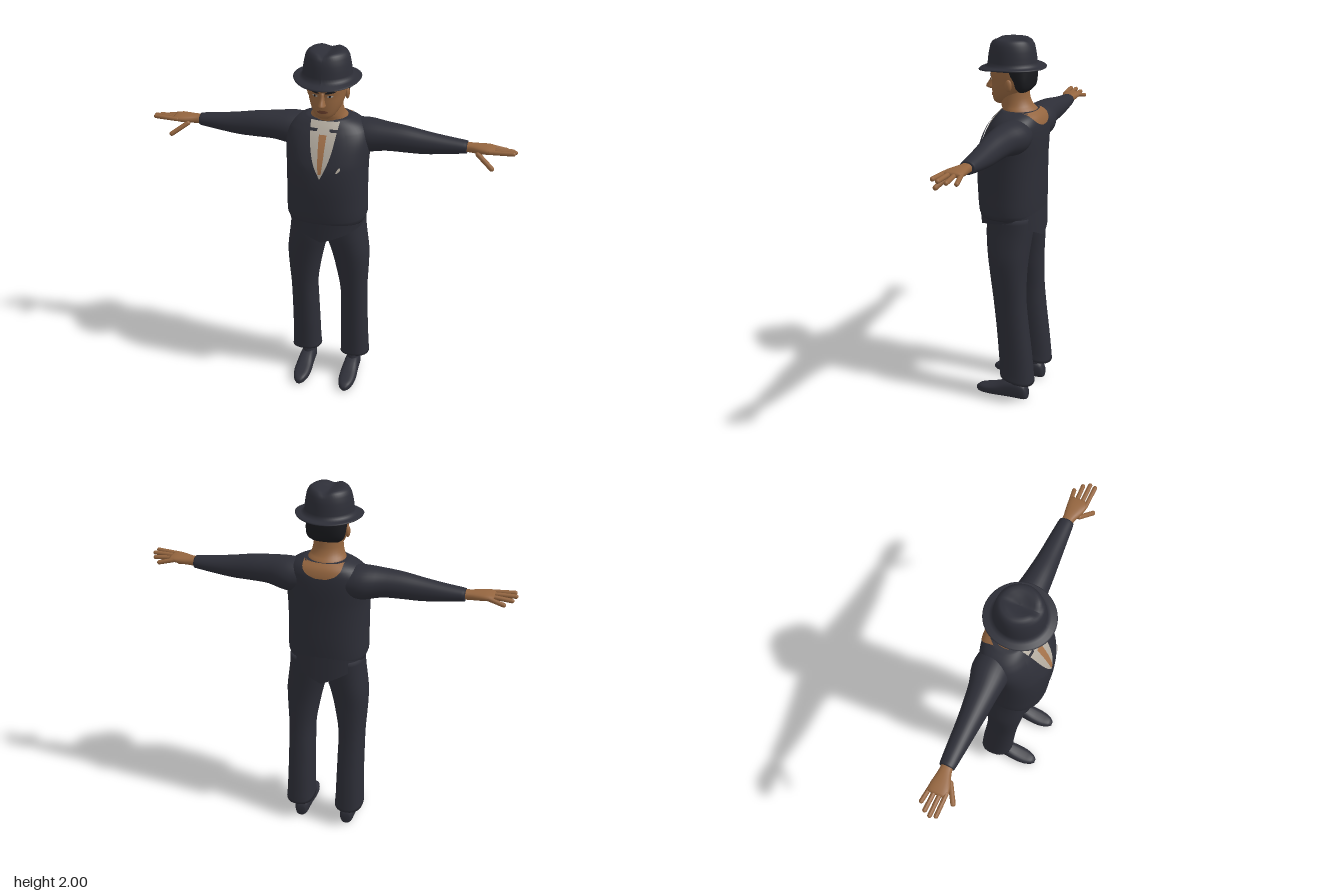
import * as THREE from 'three';

const mat = (name, color) => Object.assign(
  new THREE.MeshStandardMaterial({ color, side: THREE.DoubleSide }), { name });

// Smooth lookup of a table whose rows are [key, ...values], with increasing keys
function at(table, k) {
  let i = 0;
  while (i < table.length - 2 && k > table[i + 1][0]) i++;
  const a = table[i], b = table[i + 1], h = b[0] - a[0];
  const t = Math.min(1, Math.max(0, (k - a[0]) / h));
  const p = table[Math.max(0, i - 1)], q = table[Math.min(table.length - 1, i + 2)];
  return a.slice(1).map((v, j) => {
    const c = j + 1;
    const m0 = (b[c] - p[c]) / (b[0] - p[0]) * h, m1 = (q[c] - a[c]) / (q[0] - a[0]) * h;
    const t2 = t * t, t3 = t2 * t;
    return v * (2 * t3 - 3 * t2 + 1) + m0 * (t3 - 2 * t2 + t) + b[c] * (3 * t2 - 2 * t3) + m1 * (t3 - t2);
  });
}

const keysOf = (table, sub) => {
  const keys = [];
  for (let i = 0; i < table.length - 1; i++)
    for (let s = 0; s < sub; s++) keys.push(table[i][0] + (table[i + 1][0] - table[i][0]) * s / sub);
  return [...keys, table[table.length - 1][0]];
};

function toMesh(name, pos, idx, material) {
  const g = new THREE.BufferGeometry();
  g.setAttribute('position', new THREE.Float32BufferAttribute(pos, 3));
  g.setIndex(idx);
  g.computeVertexNormals();
  const m = new THREE.Mesh(g, material);
  m.name = name;
  return m;
}

// Body lofted along an axis; rows are [key, u0, u1, v0, v1] (y: u=x v=z, x: u=z v=y, z: u=y v=x)
function loft(name, axis, table, material, { n = 2, seg = 32, sub = 3, warp = null, caps = true } = {}) {
  const pos = [], idx = [], keys = keysOf(table, sub);
  const put = (k, u, v) => {
    const p = axis === 'y' ? [u, k, v] : axis === 'x' ? [k, v, u] : [v, u, k];
    pos.push(...(warp ? warp(...p) : p));
  };
  const pw = (s) => Math.sign(s) * Math.abs(s) ** (2 / n);
  for (const k of keys) {
    const [u0, u1, v0, v1] = at(table, k);
    for (let j = 0; j < seg; j++) {
      const a = j / seg * Math.PI * 2;
      put(k, (u0 + u1) / 2 + (u1 - u0) / 2 * pw(Math.sin(a)), (v0 + v1) / 2 + (v1 - v0) / 2 * pw(Math.cos(a)));
    }
  }
  for (let i = 0; i < keys.length - 1; i++)
    for (let j = 0; j < seg; j++) {
      const a = i * seg + j, b = i * seg + (j + 1) % seg;
      idx.push(a, b, b + seg, a, b + seg, a + seg);
    }
  if (caps) for (const end of [0, keys.length - 1]) {
    const [u0, u1, v0, v1] = at(table, keys[end]), c = pos.length / 3;
    put(keys[end], (u0 + u1) / 2, (v0 + v1) / 2);
    for (let j = 0; j < seg; j++) {
      const a = end * seg + j, b = end * seg + (j + 1) % seg;
      idx.push(...(end ? [c, a, b] : [c, b, a]));
    }
  }
  return toMesh(name, pos, idx, material);
}

// Thin panel hugging the front (dir 1) or back (dir -1) of an upright loft; rows are [y, xMin, xMax]
function panel(name, body, n, dir, rows, off, material) {
  const pos = [], idx = [], keys = keysOf(rows, 4), nx = 8;
  for (const y of keys) {
    const [x0, x1] = at(rows, y), [u0, u1, v0, v1] = at(body, y);
    for (let i = 0; i <= nx; i++) {
      const x = x0 + (x1 - x0) * i / nx;
      const r = Math.max(0, 1 - Math.abs(x / ((u1 - u0) / 2)) ** n) ** (1 / n);
      pos.push(x, y, (v0 + v1) / 2 + dir * ((v1 - v0) / 2 * r + off));
    }
  }
  for (let j = 0; j < keys.length - 1; j++)
    for (let i = 0; i < nx; i++) {
      const a = j * (nx + 1) + i, b = a + 1, c = b + nx + 1, d = a + nx + 1;
      idx.push(...(dir > 0 ? [a, b, c, a, c, d] : [a, c, b, a, d, c]));
    }
  return toMesh(name, pos, idx, material);
}

function mirrored(mesh) {
  const g = mesh.geometry.clone().scale(-1, 1, 1), ix = g.index.array;
  for (let i = 0; i < ix.length; i += 3) [ix[i], ix[i + 1]] = [ix[i + 1], ix[i]];
  g.computeVertexNormals();
  const m = new THREE.Mesh(g, mesh.material);
  m.name = mesh.name.replace('left', 'right');
  return m;
}

function finger(name, from, to, r, material) {
  const a = new THREE.Vector3(...from), b = new THREE.Vector3(...to), d = b.clone().sub(a);
  const g = new THREE.CapsuleGeometry(r, d.length() - r, 4, 10);
  g.applyQuaternion(new THREE.Quaternion().setFromUnitVectors(new THREE.Vector3(0, 1, 0), d.normalize()));
  g.translate(...a.add(b).multiplyScalar(0.5).toArray());
  const m = new THREE.Mesh(g, material);
  m.name = name;
  return m;
}

export function createModel() {
  const root = new THREE.Group();
  root.name = 'manInSuit';
  const suit = mat('suit', 0x2d2e37), skin = mat('skin', 0x94653f), shirt = mat('shirt', 0xb4aca0);
  const tie = mat('tie', 0xa5734b), hair = mat('hair', 0x191a1e), lip = mat('lip', 0x70432f);
  const eye = mat('eyeWhite', 0xa9a39c);
  const add = (...ms) => root.add(...ms);
  const pair = (...ms) => ms.forEach((m) => root.add(m, mirrored(m)));

  // Jacket body
  const torso = [
    [1.07, -.205, .205, -.168, .155], [1.10, -.215, .215, -.172, .165], [1.2, -.214, .214, -.175, .173],
    [1.3, -.214, .214, -.175, .176], [1.4, -.216, .216, -.176, .168], [1.46, -.22, .22, -.178, .150],
    [1.52, -.222, .222, -.178, .125], [1.57, -.21, .21, -.174, .098], [1.6, -.185, .185, -.165, .077],
    [1.62, -.155, .155, -.152, .062], [1.638, -.112, .112, -.13, .045]];
  const TN = 2.4;
  add(loft('jacket', 'y', torso, suit, { n: TN, seg: 48 }));
  // Jacket skirt, dipping to a point at front and back
  const skirt = [[0, -.2, .2, -.176, .155], [.5, -.207, .207, -.174, .158], [1, -.212, .212, -.172, .162]];
  add(loft('jacketSkirt', 'y', skirt, suit, {
    n: TN, seg: 64, caps: false,
    warp: (x, t, z) => {
      const c = Math.max(0, 1 - Math.abs(x) / .21), low = 1.055 - (z > 0 ? .085 : .105) * c ** .9;
      return [x, low + (1.12 - low) * t, z];
    },
  }));
  // Shirt, tie, collar and lapels
  add(panel('shirtFront', torso, TN, 1, [[1.36, -.002, .002], [1.43, -.036, .036], [1.5, -.056, .056],
    [1.57, -.068, .068], [1.632, -.076, .076]], .006, shirt));
  add(panel('tie', torso, TN, 1, [[1.385, -.008, .008], [1.45, -.014, .014], [1.575, -.02, .02]], .009, tie));
  pair(panel('leftCollarBand', torso, TN, 1, [[1.588, .035, .074], [1.601, .03, .078]], .009, suit));
  pair(panel('leftLapel', torso, TN, 1, [[1.355, 0, .012], [1.40, .022, .066], [1.45, .042, .108],
    [1.5, .056, .13], [1.55, .065, .124], [1.6, .072, .1]], .01, suit));
  add(panel('pocketSquare', torso, TN, 1, [[1.398, .083, .09], [1.41, .088, .104], [1.425, .098, .106]], .012, shirt));
  add(panel('buckle', torso, TN, 1, [[1.10, -.06, .06], [1.118, -.04, .04]], .008, suit));
  // Scooped neckline at the back
  add(panel('napeSkin', torso, TN, -1, [[1.568, -.03, .03], [1.585, -.075, .075], [1.61, -.1, .1],
    [1.637, -.105, .105]], .004, skin));

  // Sleeves
  pair(loft('leftSleeve', 'x', [
    [.1, -.155, .02, 1.45, 1.61], [.2, -.165, .03, 1.44, 1.618], [.3, -.137, .022, 1.458, 1.61],
    [.4, -.122, .014, 1.46, 1.6], [.5, -.112, .004, 1.461, 1.583], [.6, -.105, -.005, 1.472, 1.568],
    [.7, -.097, -.014, 1.486, 1.556], [.72, -.094, -.017, 1.489, 1.553]], suit));
  // Hands
  pair(loft('leftPalm', 'x', [
    [.7, -.085, -.025, 1.497, 1.547], [.74, -.084, -.02, 1.5, 1.546], [.79, -.09, 0, 1.503, 1.547],
    [.83, -.094, .01, 1.51, 1.546], [.862, -.088, .006, 1.517, 1.54]], skin, { n: 2.4, seg: 20 }));
  [[-.082, .92, 1.508, -.096], [-.055, .955, 1.52, -.06], [-.027, .97, 1.53, -.026], [.0, .962, 1.535, .004]]
    .forEach(([z, x, y, zt], i) => pair(finger('leftFinger' + i, [.83, 1.528, z], [x, y, zt], .0115, skin)));
  pair(finger('leftThumb', [.775, 1.512, -.01], [.862, 1.455, .042], .013, skin));

  // Trousers, hem higher at the front
  pair(loft('leftTrouserLeg', 'y', [
    [.11, .062, .226, -.178, .012], [.16, .066, .222, -.174, .014], [.3, .068, .218, -.16, .022],
    [.45, .07, .216, -.142, .034], [.6, .07, .216, -.128, .05], [.75, .046, .224, -.126, .07],
    [.85, .024, .225, -.132, .085], [.94, -.002, .214, -.14, .098], [1.0, -.01, .206, -.146, .102],
    [1.08, -.01, .2, -.15, .1]], suit, {
    n: 2.4, warp: (x, y, z) => [x, y + Math.max(0, 1 - (y - .11) / .2) * .04 * (z + .178) / .19, z],
  }));
  // Shoes
  pair(loft('leftShoe', 'z', [
    [-.14, .004, .06, .11, .16], [-.125, 0, .088, .099, .171], [-.08, 0, .105, .094, .176],
    [-.02, 0, .098, .091, .179], [.04, 0, .072, .087, .183], [.1, 0, .055, .09, .18],
    [.145, 0, .044, .105, .165], [.165, .006, .028, .122, .148]], suit, { n: 2.8, seg: 24 }));
  pair(loft('leftAnkle', 'y', [[.07, .1, .17, -.125, -.02], [.13, .1, .17, -.125, -.03],
    [.22, .1, .17, -.12, -.03]], suit, { seg: 20 }));

  // Neck and head
  add(loft('neck', 'y', [[1.58, -.115, .115, -.14, .05], [1.635, -.1, .1, -.133, .052],
    [1.66, -.085, .085, -.108, .06], [1.7, -.077, .077, -.09, .062], [1.77, -.072, .072, -.085, .05]], skin));
  const head = [
    [1.66, -.026, .026, .035, .09], [1.67, -.045, .045, .012, .102], [1.69, -.063, .063, -.02, .107],
    [1.72, -.08, .08, -.065, .11], [1.75, -.09, .09, -.09, .111], [1.78, -.096, .096, -.105, .111],
    [1.82, -.099, .099, -.112, .117], [1.88, -.098, .098, -.11, .112]];
  const HN = 2.2;
  add(loft('head', 'y', head, skin, { n: HN }));
  add(loft('nose', 'y', [[1.731, -.012, .012, .09, .132], [1.739, -.02, .02, .09, .151],
    [1.752, -.016, .016, .09, .148], [1.775, -.011, .011, .09, .132], [1.805, -.01, .01, .09, .119]], skin, { seg: 16 }));
  pair(panel('leftEyeWhite', head, HN, 1, [[1.782, .032, .044], [1.788, .023, .055], [1.794, .032, .046]], .003, eye),
    panel('leftIris', head, HN, 1, [[1.783, .036, .042], [1.789, .033, .045], [1.795, .036, .042]], .005, hair),
    panel('leftEyebrow', head, HN, 1, [[1.803, .018, .03], [1.81, .018, .066], [1.816, .035, .06]], .005, hair));
  add(panel('mouth', head, HN, 1, [[1.694, -.014, .014], [1.702, -.03, .03], [1.711, -.014, .014]], .004, lip));
  // Hair and ears
  add(loft('hair', 'y', [[1.735, -.07, .07, -.092, -.045], [1.755, -.094, .094, -.11, -.03],
    [1.79, -.102, .102, -.118, -.015], [1.83, -.104, .104, -.12, .02], [1.875, -.102, .102, -.116, .03]], hair, { n: 2.5 }));
  const ear = new THREE.Mesh(new THREE.SphereGeometry(1, 14, 10).scale(.012, .032, .019).translate(.1, 1.772, -.012), skin);
  ear.name = 'leftEar';
  pair(ear);

  // Hat: turned profile, then the brim is bent and the crown creased
  const profile = [[.002, 1.846], [.1, 1.847], [.14, 1.845], [.172, 1.848], [.174, 1.852], [.168, 1.856], [.145, 1.86],
    [.13, 1.868], [.126, 1.885], [.124, 1.91], [.119, 1.94], [.113, 1.97], [.102, 1.99], [.088, 2.0], [.066, 2.0],
    [.045, 1.996], [.022, 1.994], [0, 1.993]];
  const hatGeo = new THREE.LatheGeometry(profile.map(([x, y]) => new THREE.Vector2(x, y)), 56);
  const p = hatGeo.attributes.position;
  for (let i = 0; i < p.count; i++) {
    const x = p.getX(i), z = p.getZ(i), r = Math.hypot(x, z);
    let y = p.getY(i);
    if (y < 1.87) y += (r / .174) ** 4 * (.01 * (x / .174) ** 2 + (z > 0 ? -.012 : .006) * Math.abs(z) / .174);
    if (y > 1.96) y -= (y - 1.96) / .04 * .016 * Math.exp(-((x / .032) ** 2));
    const pinch = y > 1.92 && z > 0 ? 1 - .1 * (z / .12) * (y - 1.92) / .08 : 1;
    p.setXYZ(i, x * pinch, y, z * 1.015 + .003);
  }
  hatGeo.computeVertexNormals();
  const hat = new THREE.Mesh(hatGeo, suit);
  hat.name = 'hat';
  add(hat);
  return root;
}
